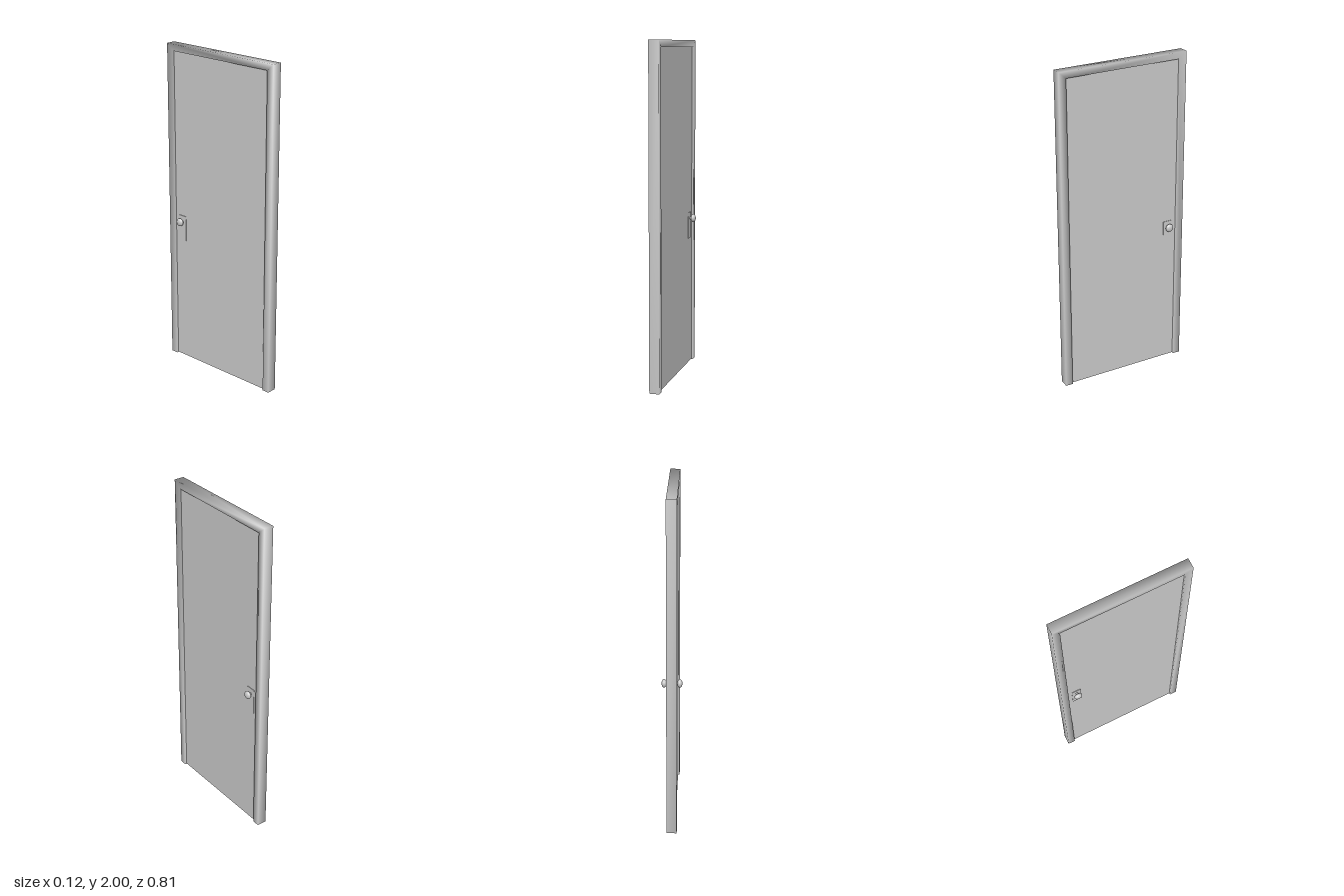
import * as THREE from 'three';
import { mergeVertices } from 'three/addons/utils/BufferGeometryUtils.js';

const material = new THREE.MeshStandardMaterial({ color: 0xcccccc });

function addMesh(parent, name, geometry, x = 0, y = 0, z = 0) {
  const mesh = new THREE.Mesh(geometry, material);
  mesh.name = name;
  mesh.position.set(x, y, z);
  parent.add(mesh);
  return mesh;
}

// Share corner vertices so that shading flows softly around the edges
function softened(geometry) {
  geometry.deleteAttribute('uv');
  geometry.deleteAttribute('normal');
  const merged = mergeVertices(geometry, 1e-4);
  merged.computeVertexNormals();
  return merged;
}

// Three-sided frame: two jambs and a lintel, open at the floor
function frameGeometry() {
  const outer = 0.405, inner = 0.36, top = 2, lintel = 1.96, depth = 0.06;
  const shape = new THREE.Shape([
    [-outer, 0], [-inner, 0], [-inner, lintel], [inner, lintel],
    [inner, 0], [outer, 0], [outer, top], [-outer, top],
  ].map(([a, b]) => new THREE.Vector2(a, b)));
  const geometry = new THREE.ExtrudeGeometry(shape, { depth, bevelEnabled: false });
  geometry.translate(0, 0, -depth / 2);
  geometry.rotateY(Math.PI / 2);
  return softened(geometry);
}

export function createModel() {
  const door = new THREE.Group();
  door.name = 'door';

  addMesh(door, 'frame', frameGeometry());
  addMesh(door, 'panel', new THREE.BoxGeometry(0.04, 1.955, 0.718), 0, 0.981, 0);

  // Handle set on each face of the panel
  const knobY = 0.913, knobZ = -0.305;
  for (const side of [1, -1]) {
    const handle = new THREE.Group();
    handle.name = side > 0 ? 'leftHandle' : 'rightHandle';
    door.add(handle);

    addMesh(handle, 'backplate', new THREE.BoxGeometry(0.006, 0.16, 0.058), side * 0.02, 0.87, knobZ);

    const stem = addMesh(handle, 'stem', new THREE.CylinderGeometry(0.008, 0.008, 0.025, 16), side * 0.029, knobY, knobZ);
    stem.rotation.z = Math.PI / 2;

    const knob = addMesh(handle, 'knob', new THREE.SphereGeometry(0.0245, 32, 20), side * 0.045, knobY, knobZ);
    knob.scale.x = 0.6;
  }
  return door;
}
